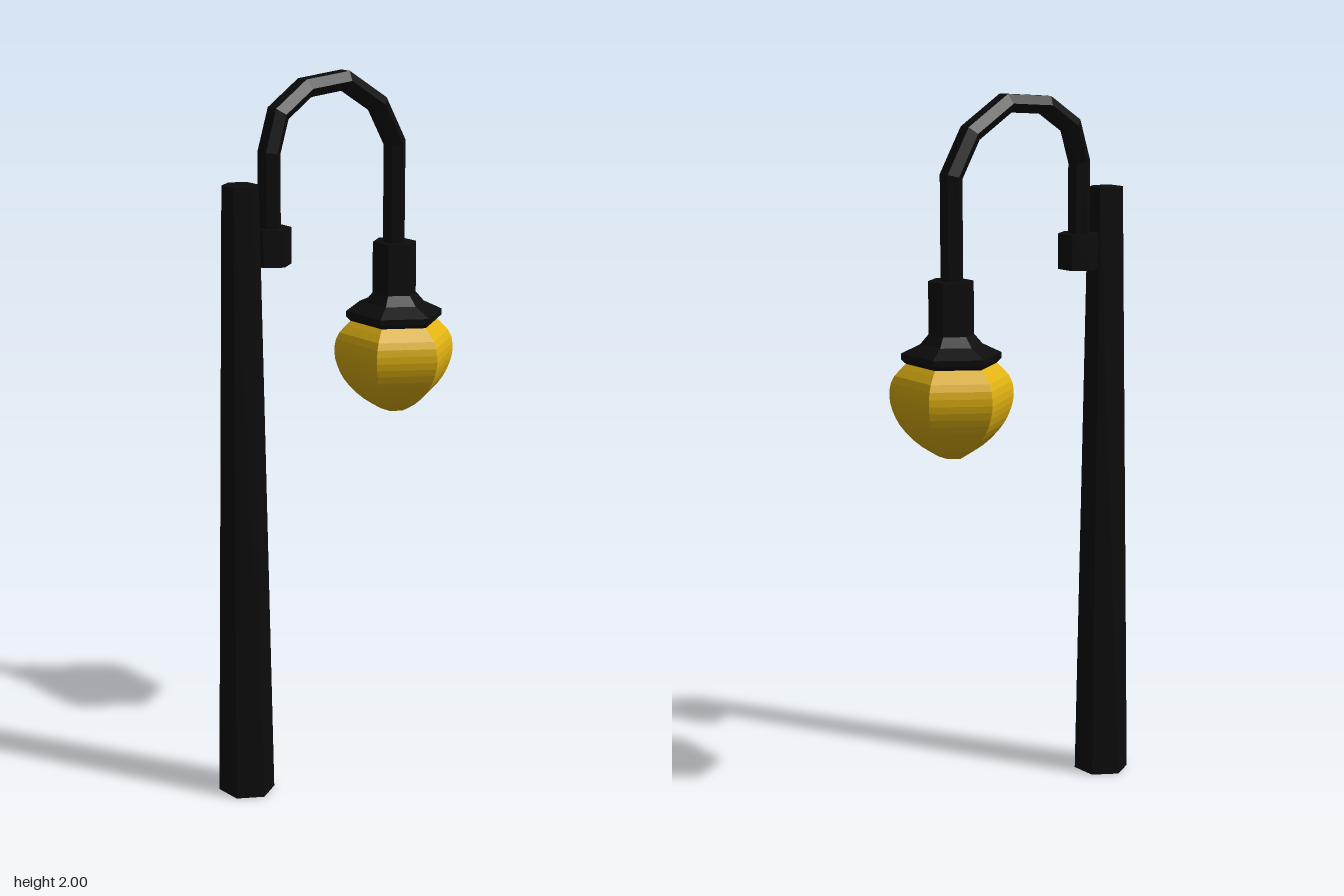
import * as THREE from 'three';

const black = new THREE.MeshStandardMaterial({ color: 0x0c0c0c });
black.name = 'blackIron';
const yellow = new THREE.MeshStandardMaterial({ color: 0xe0b212 });
yellow.name = 'yellowGlass';

// Gives every face its own normal
function faceted(geometry) {
  const flat = geometry.toNonIndexed();
  flat.computeVertexNormals();
  return flat;
}

// Six-sided turned part with corners on the x axis; profile runs bottom to top
function hexPart(name, profile, z, depth, material) {
  const points = profile.map(([r, y]) => new THREE.Vector2(r, y));
  const geometry = new THREE.LatheGeometry(points, 6, Math.PI / 2);
  geometry.scale(1, 1, depth);
  const mesh = new THREE.Mesh(faceted(geometry), material);
  mesh.name = name;
  mesh.position.z = z;
  return mesh;
}

// Hexagonal bar mitred along a [z, y] path
function hexBar(name, path, halfWidth, halfDepth, material) {
  const pts = path.map(([z, y]) => new THREE.Vector2(z, y));
  const positions = [];
  const index = [];
  pts.forEach((p, i) => {
    const a = p.clone().sub(pts[Math.max(i - 1, 0)]).normalize();
    const b = pts[Math.min(i + 1, pts.length - 1)].clone().sub(p).normalize();
    const t = a.clone().add(b).normalize();
    const mitre = 1 / Math.max(t.dot(a), t.dot(b));
    for (let k = 0; k < 6; k++) {
      const angle = (k * Math.PI) / 3;
      const off = (Math.sin(angle) / Math.sin(Math.PI / 3)) * halfDepth * mitre;
      positions.push(Math.cos(angle) * halfWidth, p.y - t.x * off, p.x + t.y * off);
      if (i > 0) {
        const n = (k + 1) % 6;
        const lo = (i - 1) * 6;
        const hi = i * 6;
        index.push(lo + k, hi + k, lo + n, lo + n, hi + k, hi + n);
      }
    }
  });
  // Outward winding for a bar that starts upward
  for (let i = 0; i < index.length; i += 3) [index[i + 1], index[i + 2]] = [index[i + 2], index[i + 1]];
  const geometry = new THREE.BufferGeometry();
  geometry.setAttribute('position', new THREE.Float32BufferAttribute(positions, 3));
  geometry.setIndex(index);
  // Test the first face and flip all faces if it points inward
  const flat = faceted(geometry);
  const pos = flat.attributes.position;
  const nor = flat.attributes.normal;
  const outward = pos.getX(0) * nor.getX(0) + (pos.getZ(0) - path[0][0]) * nor.getZ(0);
  if (outward < 0) {
    for (let i = 0; i < index.length; i += 3) [index[i + 1], index[i + 2]] = [index[i + 2], index[i + 1]];
    geometry.setIndex(index);
  }
  const mesh = new THREE.Mesh(faceted(geometry), material);
  mesh.name = name;
  return mesh;
}

export function createModel() {
  const lamp = new THREE.Group();
  lamp.name = 'streetLamp';
  const lampZ = -0.235;

  // Tapered post and the socket that holds the arm
  lamp.add(hexPart('post', [[0, 0], [0.081, 0], [0.051, 1.73], [0, 1.73]], 0.307, 0.96, black));
  lamp.add(hexPart('armSocket', [[0, 1.505], [0.062, 1.505], [0.062, 1.605], [0, 1.605]], 0.208, 0.89, black));

  // Curved arm
  lamp.add(hexBar('arm', [
    [0.21, 1.53], [0.21, 1.805], [0.178, 1.907], [0.087, 1.967],
    [-0.048, 1.977], [-0.168, 1.902], [-0.232, 1.79], [-0.232, 1.45],
  ], 0.036, 0.0245, black));

  // Lantern cap with flared skirt
  lamp.add(hexPart('lanternCap', [
    [0, 1.282], [0.132, 1.282], [0.149, 1.297], [0.149, 1.313],
    [0.092, 1.338], [0.067, 1.365], [0.067, 1.51], [0, 1.51],
  ], lampZ, 0.89, black));

  // Rounded glass globe, narrowing to a small flat foot
  const curve = new THREE.SplineCurve([
    [0.04, 1.025], [0.1, 1.06], [0.15, 1.108], [0.176, 1.155],
    [0.185, 1.2], [0.174, 1.245], [0.134, 1.285],
  ].map(([r, y]) => new THREE.Vector2(r, y)));
  const globe = curve.getPoints(14).map((p) => [p.x, p.y]);
  lamp.add(hexPart('globe', [[0, 1.025], ...globe, [0, 1.285]], lampZ, 0.89, yellow));

  // The whole lamp is turned very slightly
  lamp.rotation.y = 0.018;
  lamp.position.x = 0.004;
  const model = new THREE.Group();
  model.name = 'model';
  model.add(lamp);
  return model;
}
